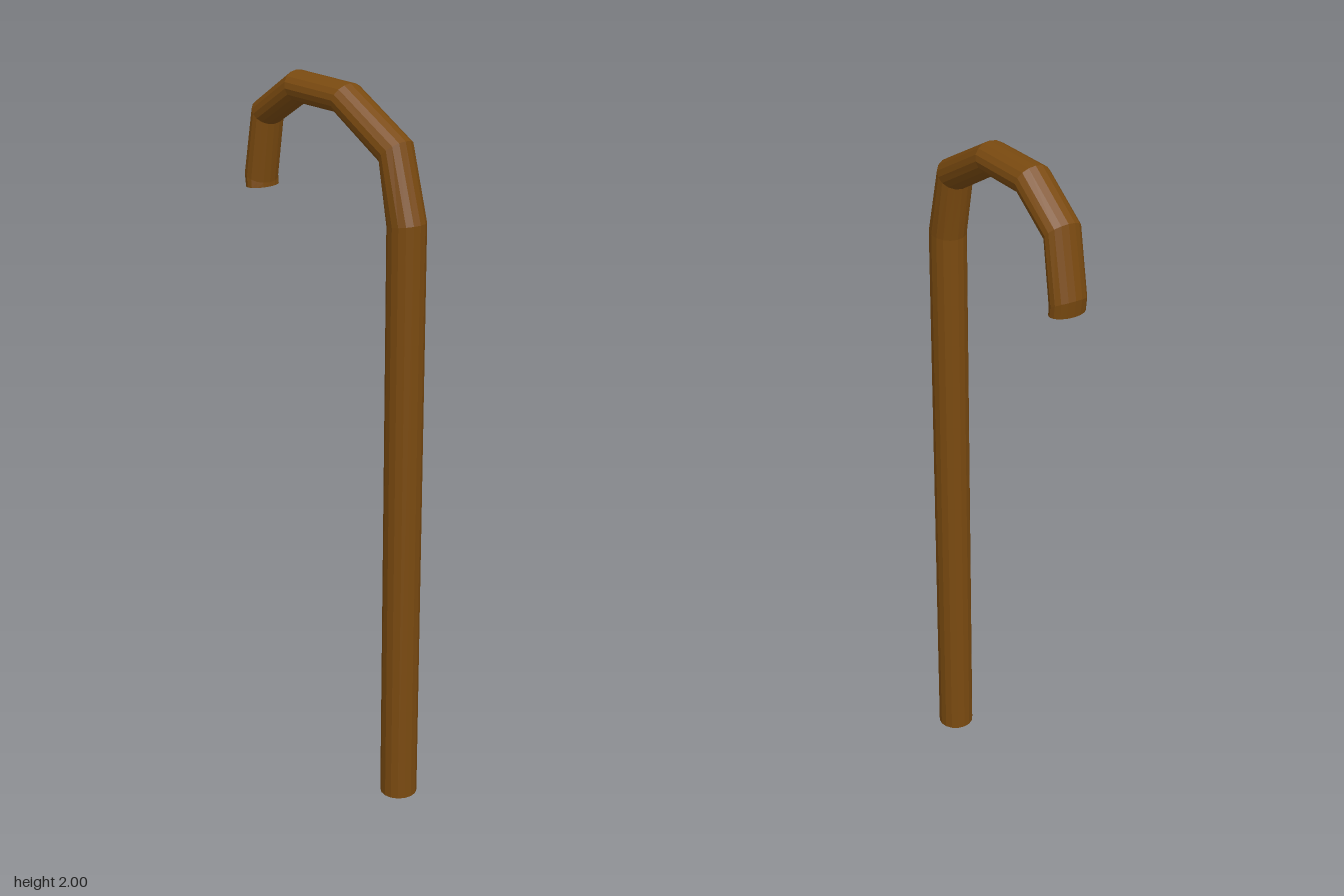
import * as THREE from 'three';

const SIDES = 16;
const HALF_WIDTH = 0.052;

// Cross-sections along the cane: outer z, outer y, inner z, inner y
const SECTIONS = [
  [0.333, 0, 0.23, 0],
  [0.333, 1.675, 0.23, 1.66],
  [0.273, 1.88, 0.204, 1.815],
  [0.066, 1.995, 0.034, 1.915],
  [-0.147, 2.0, -0.12, 1.917],
  [-0.294, 1.9, -0.24, 1.84],
  [-0.333, 1.71, -0.262, 1.675],
  [-0.326, 1.663, -0.262, 1.663],
];

// Elliptical ring spanning the outer and inner edge of the bend
function ringPoint([oz, oy, iz, iy], j) {
  const a = (j / SIDES) * Math.PI * 2;
  const c = Math.cos(a) / 2;
  return [
    HALF_WIDTH * Math.sin(a),
    (oy + iy) / 2 + c * (oy - iy),
    (oz + iz) / 2 + c * (oz - iz),
  ];
}

function caneGeometry() {
  const positions = [];
  const index = [];
  SECTIONS.forEach((s) => {
    for (let j = 0; j < SIDES; j++) positions.push(...ringPoint(s, j));
  });

  // Side walls between neighbouring rings
  for (let i = 0; i < SECTIONS.length - 1; i++) {
    for (let j = 0; j < SIDES; j++) {
      const k = (j + 1) % SIDES;
      const a = i * SIDES + j, b = i * SIDES + k;
      index.push(a, b, b + SIDES, a, b + SIDES, a + SIDES);
    }
  }

  // End caps
  const last = (SECTIONS.length - 1) * SIDES;
  for (let j = 1; j < SIDES - 1; j++) {
    index.push(0, j + 1, j);
    index.push(last, last + j, last + j + 1);
  }

  const geometry = new THREE.BufferGeometry();
  geometry.setAttribute('position', new THREE.Float32BufferAttribute(positions, 3));
  geometry.setIndex(index);
  geometry.computeVertexNormals();
  return geometry;
}

export function createModel() {
  const group = new THREE.Group();
  group.name = 'walkingCane';

  // Straight shaft and hooked handle in one continuous sweep
  const wood = new THREE.MeshStandardMaterial({ color: 0x7a4a10, flatShading: true });
  const cane = new THREE.Mesh(caneGeometry(), wood);
  cane.name = 'shaftAndHook';
  group.add(cane);

  return group;
}
